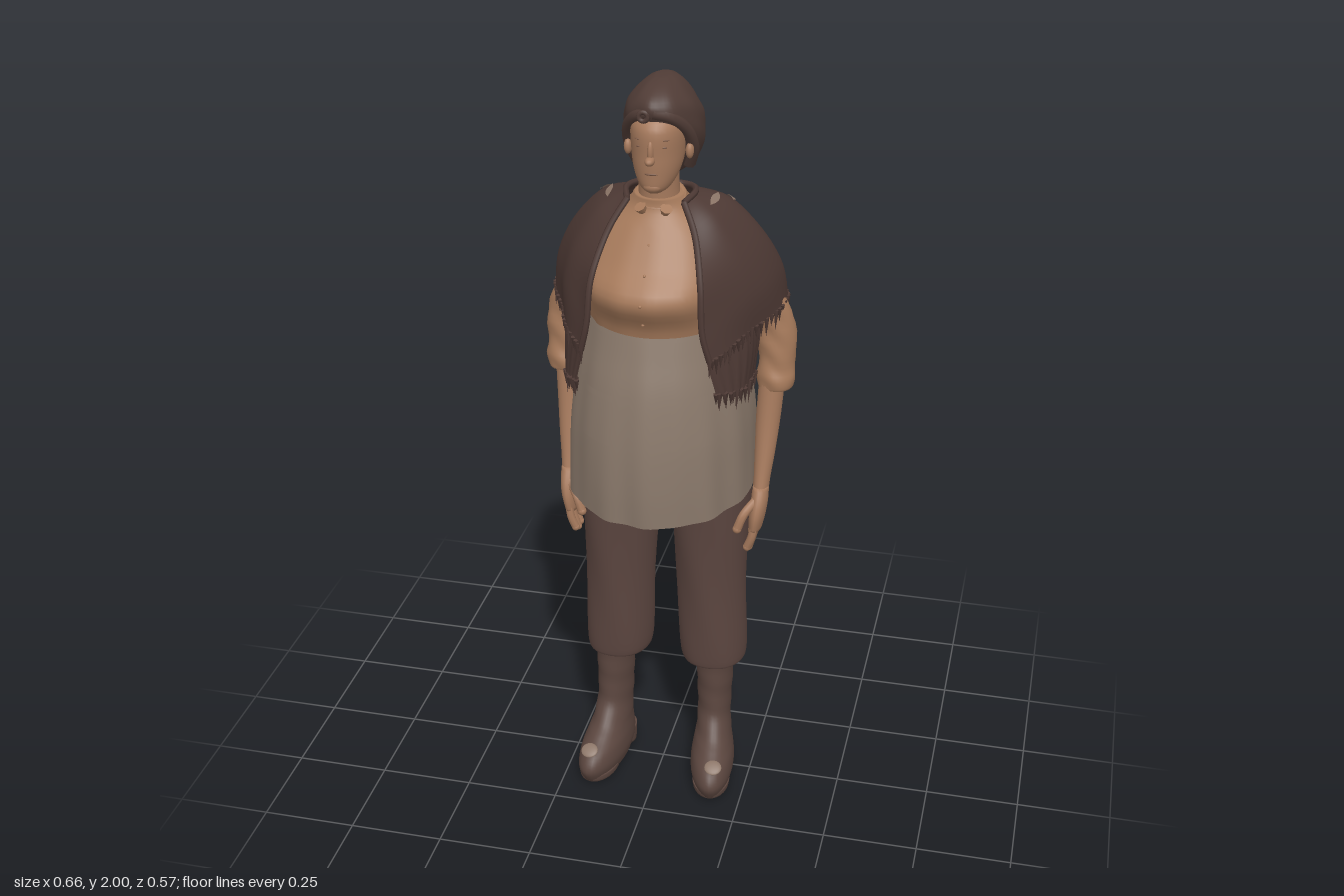
import * as THREE from 'three';
import { mergeGeometries } from 'three/addons/utils/BufferGeometryUtils.js';

const mat = (name, color, side = THREE.FrontSide) => {
  const m = new THREE.MeshStandardMaterial({ color, side });
  m.name = name;
  return m;
};

export function createModel() {
  const root = new THREE.Group();
  const M = {
    shawl: mat('shawl wool', 0x4d3934, THREE.DoubleSide),
    hair: mat('hair', 0x503c36),
    trousers: mat('trouser cloth', 0x5c4640),
    boots: mat('boot leather', 0x5a453e),
    worn: mat('worn patches', 0x8a7466, THREE.DoubleSide),
    apron: mat('apron linen', 0x8a796b, THREE.DoubleSide),
    shirt: mat('shirt cotton', 0xa67a5b),
    skin: mat('skin', 0xa67a5d),
    dark: mat('face lines', 0x7a5845),
  };
  const add = (name, geo, material, parent = root) => {
    const mesh = new THREE.Mesh(geo, material);
    mesh.name = name;
    parent.add(mesh);
    return mesh;
  };

  // Smooth interpolation through a list of number arrays, t from 0 to 1
  const cr = (list, t) => {
    const n = list.length - 1, f = Math.min(t, 0.99999) * n, i = Math.floor(f), k = f - i;
    const at = (j) => list[Math.max(0, Math.min(n, j))];
    return at(i).map((b, c) => {
      const a = at(i - 1)[c], d = at(i + 1)[c], e = at(i + 2)[c];
      return b + 0.5 * k * (d - a + k * (2 * a - 5 * b + 4 * d - e + k * (3 * (b - d) + e - a)));
    });
  };

  // Surface from fn(u, v) -> [x, y, z]; wrap closes it around u
  const grid = (fn, nu, nv, wrap = false) => {
    const pos = [], idx = [], w = wrap ? nu : nu + 1;
    for (let j = 0; j <= nv; j++) for (let i = 0; i < w; i++) pos.push(...fn(i / nu, j / nv, j));
    for (let j = 0; j < nv; j++) for (let i = 0; i < nu; i++) {
      const a = j * w + i, b = j * w + (i + 1) % w;
      idx.push(a, b, a + w, b, b + w, a + w);
    }
    const g = new THREE.BufferGeometry();
    g.setAttribute('position', new THREE.Float32BufferAttribute(pos, 3));
    g.setIndex(idx);
    g.computeVertexNormals();
    return g;
  };

  // Capped body through rings [y, cx, cz, rx, rz], listed upwards; ripple(a, y) scales the radius
  const loft = (rings, ripple = () => 1, nu = 32, nv = 28) => grid((u, v, j) => {
    const t = Math.max(0, Math.min(1, (j - 1) / (nv - 2)));
    const [y, cx, cz, rx, rz] = cr(rings, t), a = u * Math.PI * 2;
    const r = j === 0 || j === nv ? 0 : ripple(a, y);
    return [cx + rx * r * Math.sin(a), y, cz + rz * r * Math.cos(a)];
  }, nu, nv, true);
  const side = (rings, s) => rings.map(([y, cx, ...r]) => [y, cx * s, ...r]);
  const ball = (x, y, z, sx, sy, sz) => new THREE.SphereGeometry(1, 16, 12).scale(sx, sy, sz).translate(x, y, z);

  // Shirt with bust, collar and buttons
  add('shirt', loft([
    [1.34, 0, 0.02, 0.17, 0.175], [1.42, 0, 0.035, 0.18, 0.175], [1.5, 0, 0.05, 0.188, 0.2],
    [1.57, 0, 0.03, 0.185, 0.163], [1.64, 0, 0.015, 0.15, 0.128], [1.69, 0, 0.03, 0.085, 0.08], [1.72, 0, 0.04, 0.06, 0.066],
  ], (a, y) => 1 + 0.006 * Math.sin(a * 14) * (y < 1.66 ? 1 : 0), 64), M.shirt);
  const collar = add('collar', new THREE.TorusGeometry(0.058, 0.01, 8, 28), M.shirt);
  collar.rotation.x = Math.PI / 2 + 0.25;
  collar.position.set(0, 1.708, 0.043);
  for (const s of [-1, 1]) {
    const flap = add('collarFlap', new THREE.ConeGeometry(0.016, 0.05, 8), M.shirt);
    flap.position.set(0.024 * s, 1.68, 0.098);
    flap.rotation.set(Math.PI + 0.5, 0, 0.35 * s);
  }
  for (const [y, z] of [[1.44, 0.221], [1.5, 0.249], [1.56, 0.202], [1.62, 0.154]])
    add('button', ball(0, y, z, 0.004, 0.004, 0.004), M.shirt);

  // Apron wrapped to an open slit at the centre back, with waistband and pockets
  const apronRings = [
    [0.905, 0.243, 0.275, 0.268], [1.0, 0.24, 0.277, 0.262], [1.12, 0.235, 0.27, 0.25],
    [1.25, 0.218, 0.25, 0.225], [1.34, 0.2, 0.225, 0.19], [1.4, 0.186, 0.208, 0.16],
  ];
  const apronPoint = (a, t, grow = 1) => {
    const [y, rx, zf, zb] = cr(apronRings, t), c = Math.cos(a);
    const r = grow * (1 + 0.012 * (1.1 - t) * (Math.sin(a * 11 + 2 * t) + 0.6 * Math.sin(a * 17 + 1)));
    return [rx * r * Math.sin(a), y + 0.02 * (1 - t) * (1 - c), (c > 0 ? zf : zb) * r * c];
  };
  const panel = (a0, a1, t0, t1, grow) => grid((u, v) => apronPoint(a0 + (a1 - a0) * u, t0 + (t1 - t0) * v, grow), 96, 20);
  add('apron', panel(-Math.PI + 0.09, Math.PI - 0.09, 0, 1), M.apron);
  add('waistband', panel(-1.8, 1.8, 0.95, 1, 1.015), M.apron);
  for (const s of [-1, 1]) {
    add('pocket', panel(s * 0.62 - 0.28, s * 0.62 + 0.28, 0.4, 0.59, 1.012), M.apron);
    add('pocketHem', panel(s * 0.62 - 0.29, s * 0.62 + 0.29, 0.575, 0.6, 1.024), M.apron);
  }

  // Trousers, boots and arms on both sides
  for (const s of [-1, 1]) {
    add('trouserLeg', loft(side([
      [0.365, 0.135, -0.035, 0.06, 0.06], [0.345, 0.135, -0.038, 0.08, 0.082], [0.385, 0.132, -0.04, 0.092, 0.094],
      [0.6, 0.126, -0.035, 0.094, 0.102], [0.85, 0.122, -0.03, 0.106, 0.119], [0.97, 0.118, -0.03, 0.115, 0.13],
      [1.15, 0.1, -0.02, 0.11, 0.14],
    ], s), (a, y) => 1 + 0.012 * Math.sin(a * 5 + y * 14)), M.trousers);

    const boot = new THREE.Group();
    boot.name = 'boot';
    boot.position.x = 0.145 * s;
    boot.rotation.y = 0.14 * s;
    root.add(boot);
    add('bootUpper', loft([
      [0.016, 0, 0.05, 0.052, 0.135], [0.05, 0, 0.05, 0.06, 0.15], [0.085, 0, 0.042, 0.058, 0.138],
      [0.115, 0, 0.02, 0.052, 0.11], [0.15, 0, -0.005, 0.047, 0.085], [0.2, 0, -0.022, 0.046, 0.07],
      [0.28, 0, -0.025, 0.049, 0.067], [0.37, 0, -0.028, 0.053, 0.07],
    ], (a, y) => 1 + 0.02 * Math.sin(y * 90 + a) * (y > 0.13 ? 1 : 0), 32, 36), M.boots, boot);
    add('sole', loft([[0.002, 0, 0.1, 0.042, 0.068], [0.012, 0, 0.103, 0.05, 0.08], [0.03, 0, 0.1, 0.052, 0.086]], undefined, 28, 8), M.boots, boot);
    add('heel', loft([[0, 0, -0.058, 0.042, 0.04], [0.025, 0, -0.055, 0.045, 0.045], [0.06, 0, -0.05, 0.047, 0.048]], undefined, 24, 8), M.boots, boot);
    const scuff = add('toeScuff', ball(0, 0, 0, 0.024, 0.006, 0.022), M.worn, boot);
    scuff.position.set(0.008 * s, 0.098, 0.158);
    scuff.rotation.x = 0.55;

    add('sleeve', loft(side([
      [1.185, 0.275, -0.07, 0.034, 0.034], [1.172, 0.278, -0.07, 0.044, 0.042], [1.2, 0.28, -0.073, 0.05, 0.046],
      [1.235, 0.28, -0.078, 0.046, 0.043], [1.3, 0.279, -0.083, 0.05, 0.044], [1.37, 0.27, -0.083, 0.046, 0.042],
      [1.46, 0.23, -0.065, 0.042, 0.045], [1.56, 0.175, -0.04, 0.035, 0.05],
    ], s), (a, y) => 1 + 0.05 * Math.sin(y * 85 + 2 * Math.sin(a * 2)) * Math.cos(a + 0.5)), M.shirt);
    add('forearm', loft(side([
      [0.87, 0.258, -0.005, 0.02, 0.033], [0.93, 0.26, -0.018, 0.022, 0.03], [1.0, 0.263, -0.035, 0.027, 0.032],
      [1.09, 0.266, -0.055, 0.032, 0.036], [1.21, 0.272, -0.07, 0.034, 0.036],
    ], s), undefined, 20, 16), M.skin);
    add('palm', loft(side([
      [0.79, 0.249, 0, 0.017, 0.046], [0.83, 0.254, 0.002, 0.021, 0.048], [0.87, 0.258, 0, 0.022, 0.04],
      [0.91, 0.259, -0.012, 0.021, 0.029],
    ], s), undefined, 20, 12), M.skin);
    const digit = (name, pts, r) => {
      const curve = new THREE.CatmullRomCurve3(pts.map(([x, y, z]) => new THREE.Vector3(x * s, y, z)));
      const [x, y, z] = pts[pts.length - 1];
      add(name, mergeGeometries([new THREE.TubeGeometry(curve, 8, r, 8), ball(x * s, y, z, r, r, r)]), M.skin);
    };
    for (let i = 0; i < 4; i++) {
      const z = 0.034 - i * 0.022, tip = [0.742, 0.732, 0.736, 0.756][i];
      digit('finger', [[0.251, 0.81, z], [0.246, 0.775, z * 1.08], [0.234, tip, z]], 0.011);
    }
    digit('thumb', [[0.25, 0.875, 0.02], [0.225, 0.845, 0.048], [0.21, 0.805, 0.055]], 0.012);
  }

  // Shawl layers, woven through columns running from neck to hem
  const drape = (name, cols, nu, nv, fringeCount, tassel = 0.05) => {
    const fn = (u, v) => {
      const [x, y, z] = cr(cols.map((c) => cr(c, v)), u);
      const k = 1 + 0.014 * v * Math.sin(u * 50 + v * 4);
      return [x * k, y, z * k];
    };
    add(name, grid(fn, nu, nv), M.shawl);
    const strands = [];
    for (let i = 0; i <= fringeCount; i++) {
      const p = fn(i / fringeCount, 1), len = tassel * (0.85 + 0.25 * Math.sin(i * 2.4));
      strands.push(new THREE.ConeGeometry(0.007, len, 5).rotateX(Math.PI + 0.2 * Math.sin(i * 5))
        .translate(p[0], p[1] - len * 0.42, p[2]));
    }
    add(name + 'Fringe', mergeGeometries(strands), M.shawl);
    return fn;
  };
  const flip = (cols) => cols.map((c) => c.map(([x, y, z]) => [-x, y, z]));
  const mirrored = (cols) => [...flip(cols).reverse(), ...cols.slice(1)];

  const upper = drape('shawlUpper', mirrored([
    [[0, 1.715, -0.035], [0, 1.67, -0.115], [0, 1.54, -0.172], [0, 1.43, -0.22], [0, 1.33, -0.272]],
    [[0.055, 1.715, -0.03], [0.09, 1.665, -0.105], [0.135, 1.55, -0.158], [0.155, 1.45, -0.197], [0.162, 1.37, -0.22]],
    [[0.08, 1.718, 0], [0.16, 1.685, -0.04], [0.235, 1.6, -0.065], [0.283, 1.5, -0.098], [0.299, 1.405, -0.122]],
    [[0.085, 1.718, 0.04], [0.15, 1.67, 0.065], [0.208, 1.58, 0.075], [0.239, 1.48, 0.075], [0.246, 1.39, 0.065]],
    [[0.07, 1.71, 0.085], [0.108, 1.64, 0.13], [0.134, 1.54, 0.192], [0.143, 1.43, 0.21], [0.163, 1.35, 0.205]],
  ]), 96, 24, 84);
  drape('shawlLowerBack', mirrored([
    [[0, 1.5, -0.165], [0, 1.35, -0.225], [0, 1.225, -0.272]],
    [[0.13, 1.5, -0.145], [0.145, 1.35, -0.2], [0.148, 1.225, -0.235]],
    [[0.235, 1.5, -0.085], [0.243, 1.38, -0.127], [0.235, 1.25, -0.15]],
  ]), 56, 12, 46, 0.04);
  const frontTail = [
    [[0.235, 1.48, -0.01], [0.246, 1.36, -0.015], [0.236, 1.235, -0.01]],
    [[0.205, 1.5, 0.08], [0.23, 1.36, 0.09], [0.226, 1.24, 0.11]],
    [[0.14, 1.5, 0.185], [0.148, 1.38, 0.205], [0.178, 1.26, 0.195]],
  ];
  drape('shawlFrontTail', frontTail, 24, 12, 18);
  drape('shawlFrontTail', flip(frontTail), 24, 12, 18);
  // Worn patches on the shoulders
  for (const [u0, u1, v0, v1] of [[0.705, 0.77, 0.24, 0.29], [0.765, 0.865, 0.14, 0.19]])
    for (const s of [-1, 1]) add('wornPatch', grid((u, v) => {
      const w = 0.5 + (v - 0.5) * Math.sin(Math.PI * u);
      const [x, y, z] = upper(0.5 + s * (u0 + (u1 - u0) * u - 0.5), v0 + (v1 - v0) * w);
      return [x, y + 0.004, z];
    }, 10, 4), M.worn);
  // Rolled edges down the front opening and around the neck
  const trim = (name, fn) => {
    const pts = Array.from({ length: 16 }, (_, i) => new THREE.Vector3(...fn(i / 15)));
    add(name, new THREE.TubeGeometry(new THREE.CatmullRomCurve3(pts), 48, 0.008, 6), M.shawl);
  };
  trim('frontEdge', (t) => upper(0, t));
  trim('frontEdge', (t) => upper(1, t));
  trim('neckEdge', (t) => upper(t, 0));

  // Neck, head and face
  add('neck', loft([[1.66, 0, 0.035, 0.06, 0.065], [1.72, 0, 0.045, 0.05, 0.056], [1.8, 0, 0.05, 0.05, 0.056]], undefined, 24, 10), M.skin);
  add('head', loft([
    [1.738, 0, 0.088, 0.02, 0.028], [1.752, 0, 0.078, 0.038, 0.053], [1.785, 0, 0.062, 0.055, 0.073],
    [1.83, 0, 0.05, 0.064, 0.087], [1.9, 0, 0.045, 0.066, 0.09], [1.94, 0, 0.025, 0.045, 0.065],
  ]), M.skin);
  add('nose', mergeGeometries([ball(0, 1.828, 0.143, 0.012, 0.011, 0.02), ball(0, 1.848, 0.136, 0.008, 0.028, 0.012)]), M.skin);
  add('chin', ball(0, 1.757, 0.116, 0.024, 0.016, 0.018), M.skin);
  add('mouth', ball(0, 1.792, 0.133, 0.016, 0.003, 0.004), M.dark);
  for (const s of [-1, 1]) {
    add('eye', ball(0.028 * s, 1.858, 0.126, 0.01, 0.003, 0.004), M.dark);
    add('eyebrow', ball(0.029 * s, 1.876, 0.124, 0.014, 0.002, 0.006), M.dark);
    add('ear', ball(0.076 * s, 1.83, 0.05, 0.01, 0.02, 0.014), M.skin);
  }

  // Gathered hair with a cleft at the back, rolls at the brow and a curl
  add('hair', loft([
    [1.752, 0, -0.03, 0.04, 0.035], [1.78, 0, -0.032, 0.074, 0.062], [1.83, 0, -0.022, 0.094, 0.09],
    [1.89, 0, -0.006, 0.097, 0.112], [1.935, 0, 0.013, 0.084, 0.114], [1.965, 0, 0.016, 0.064, 0.1],
    [1.988, 0, 0.008, 0.04, 0.068], [1.999, 0, 0, 0.018, 0.03],
  ], (a, y) => 1 - 0.1 * Math.exp(-18 * (a - Math.PI) ** 2) + 0.025 * Math.sin(a * 7 + y * 30) * Math.cos(y * 45 - a * 2), 48), M.hair);
  for (const s of [-1, 1]) {
    const roll = new THREE.CatmullRomCurve3([[0, 1.938, 0.117], [0.04, 1.925, 0.1], [0.07, 1.885, 0.062], [0.078, 1.83, 0.025], [0.064, 1.78, 0]]
      .map(([x, y, z]) => new THREE.Vector3(x * s, y, z)));
    add('hairRoll', new THREE.TubeGeometry(roll, 24, 0.016, 8), M.hair);
  }
  add('curl', new THREE.TorusGeometry(0.011, 0.006, 8, 16).translate(-0.02, 1.93, 0.126), M.hair);
  return root;
}
